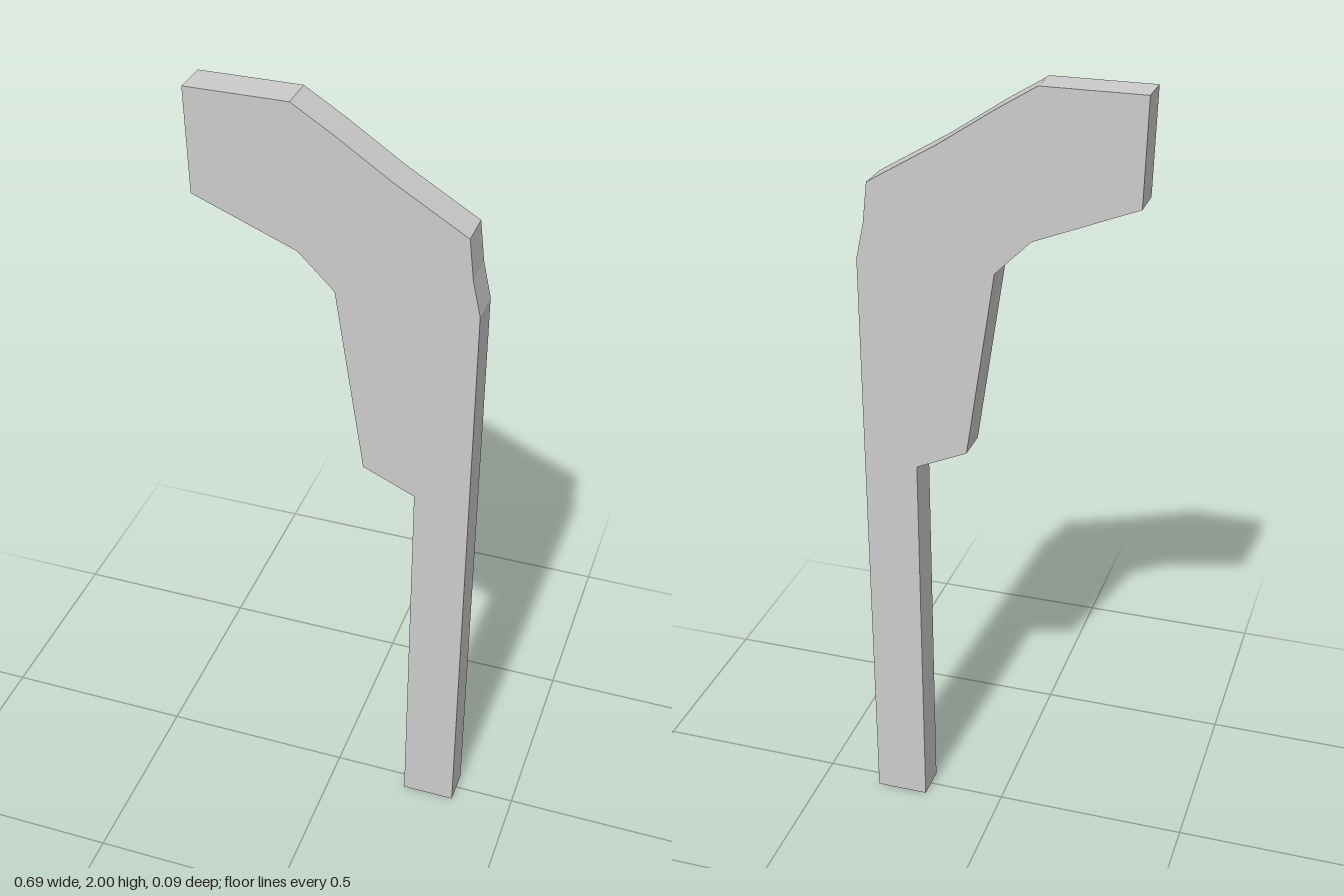
import * as THREE from 'three';

export function createModel() {
  const group = new THREE.Group();
  group.name = 'bracketPost';
  const material = new THREE.MeshStandardMaterial({ color: 0xcccccc, flatShading: true });

  // Side outline, counter-clockwise from the foot of the post
  const outline = [
    [0.205, 0], [0.342, 0], [0.342, 1.555], [0.322, 1.645], [0.31, 1.745], // post and shoulder
    [0.135, 1.85], [0, 1.94], [-0.097, 2], [-0.344, 2],                    // sloping top and arm
    [-0.337, 1.745], [-0.085, 1.643], [0.003, 1.555],                      // underside of arm
    [0.075, 1.08], [0.205, 1.022],                                         // thickened neck
  ].map(([x, y]) => new THREE.Vector2(x, y));

  // Plain slab of even thickness
  const depth = 0.09;
  const geometry = new THREE.ExtrudeGeometry(new THREE.Shape(outline), { depth, bevelEnabled: false });
  geometry.translate(0, 0, -depth / 2);

  const post = new THREE.Mesh(geometry, material);
  post.name = 'postWithArm';
  group.add(post);
  return group;
}
